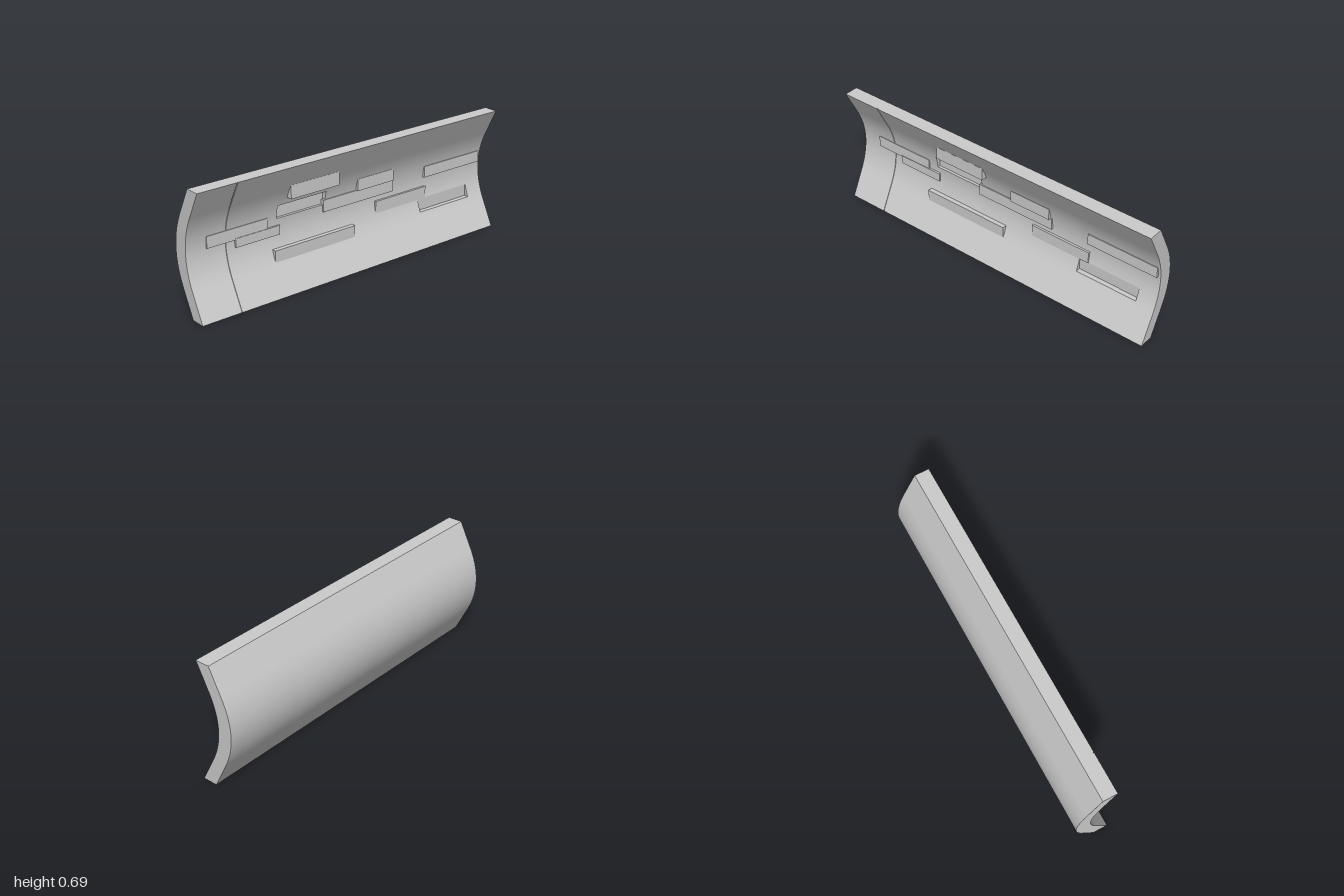
import * as THREE from 'three';
import { toCreasedNormals } from 'three/addons/utils/BufferGeometryUtils.js';

const H = 0.695, MID = H / 2, THICK = 0.084, BEND = 0.1975;

// Outer face of the shell: a parabola in the middle, straight towards both edges
const outerX = (y) => {
  const d = Math.abs(y - MID);
  return d < BEND ? -0.105 + 0.05 * (d / BEND) ** 2 : -0.055 + 0.506 * (d - BEND);
};
const innerX = (y) => outerX(y) + THICK;

export function createModel() {
  const group = new THREE.Group();
  const material = new THREE.MeshStandardMaterial({ color: 0xcccccc });
  const add = (name, geometry) => {
    const mesh = new THREE.Mesh(geometry, material);
    mesh.name = name;
    group.add(mesh);
    return mesh;
  };

  // Heights at which the profile is sampled
  const N = 40;
  const heights = Array.from({ length: N + 1 }, (_, i) => (H * i) / N);

  // One length of shell; a notch cuts a flat pocket into the concave face
  const shell = (name, z0, z1, { inset = 0, notch = null } = {}) => {
    const points = heights.map((y) => new THREE.Vector2(outerX(y), y));
    const inner = [];
    for (const y of heights) {
      if (notch && y > notch.y0 && y < notch.y1) continue;
      inner.push([innerX(y) - inset, y]);
    }
    if (notch) {
      const { y0, y1, x } = notch;
      const at = inner.findIndex((p) => p[1] >= y1);
      inner.splice(at, 0, [innerX(y0), y0], [x, y0 + 1e-4], [x, y1 - 1e-4], [innerX(y1), y1]);
    }
    inner.reverse().forEach(([x, y]) => points.push(new THREE.Vector2(x, y)));
    const geometry = new THREE.ExtrudeGeometry(new THREE.Shape(points), {
      depth: z1 - z0, bevelEnabled: false,
    });
    geometry.translate(0, 0, z0);
    add(name, toCreasedNormals(geometry, 0.4));
  };

  // Curved shell, with a fine seam near the front and two shallow pockets
  shell('frontShell', 0.768, 1);
  shell('seam', 0.763, 0.768, { inset: 0.004 });
  shell('shellSection', 0.45, 0.763);
  shell('upperPocketSection', 0.135, 0.45, { notch: { y0: 0.385, y1: 0.46, x: -0.035 } });
  shell('middleShell', -0.52, 0.135);
  shell('lowerPocketSection', -0.89, -0.52, { notch: { y0: 0.18, y1: 0.25, x: -0.012 } });
  shell('backShell', -1, -0.89);

  // Raised blocks on the concave face: front x, bottom, top, back z, front z
  const blocks = [
    [0.044, 0.498, 0.573, 0.085, 0.4],
    [0.004, 0.413, 0.48, -0.325, -0.075],
    [-0.007, 0.369, 0.433, -0.985, -0.565],
    [-0.01, 0.345, 0.412, -0.335, 0.148],
    [-0.013, 0.34, 0.405, 0.51, 0.88],
    [-0.01, 0.298, 0.348, 0.435, 0.71],
    [-0.007, 0.247, 0.315, -0.575, -0.21],
    [0.022, 0.16, 0.23, -0.04, 0.49],
  ];
  for (const [x, y0, y1, z0, z1] of blocks) {
    const back = Math.min(innerX(y0), innerX(y1), innerX((y0 + y1) / 2)) - 0.01;
    const block = add('raisedBlock', new THREE.BoxGeometry(x - back, y1 - y0, z1 - z0));
    block.position.set((x + back) / 2, (y0 + y1) / 2, (z0 + z1) / 2);
  }
  return group;
}
